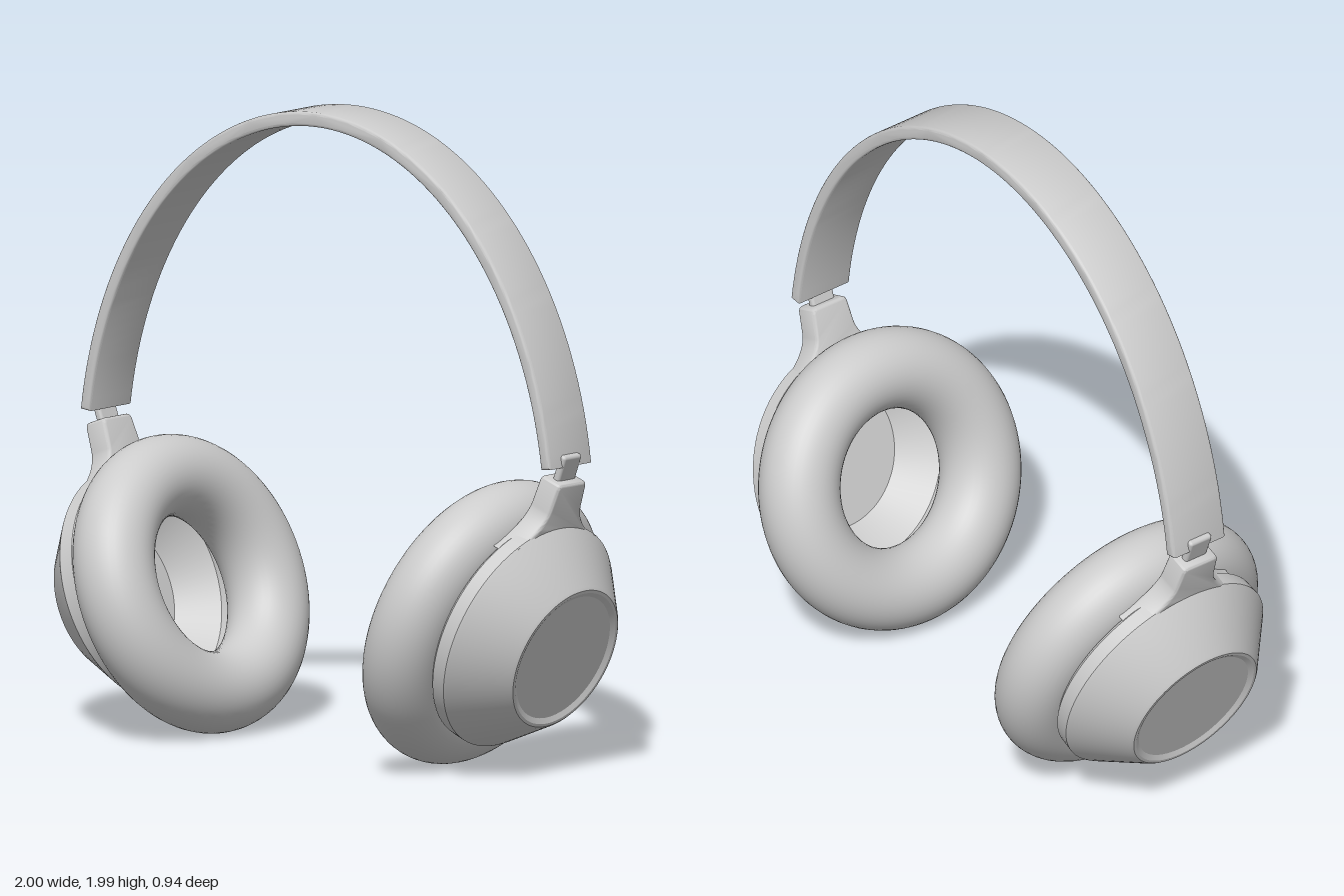
import * as THREE from 'three';
import { toCreasedNormals } from 'three/addons/utils/BufferGeometryUtils.js';
import { RoundedBoxGeometry } from 'three/addons/geometries/RoundedBoxGeometry.js';

const material = new THREE.MeshStandardMaterial({ color: 0xcccccc });

function part(name, geometry, parent) {
  const mesh = new THREE.Mesh(geometry, material);
  mesh.name = name;
  parent.add(mesh);
  return mesh;
}

// Half-elliptical strip, slightly thinner at its ends
function headbandGeometry() {
  const a = 0.951, b = 1.2, start = 0.152, steps = 80;
  const outer = [], inner = [];
  for (let i = 0; i <= steps; i++) {
    const t = start + (Math.PI - 2 * start) * i / steps;
    const p = new THREE.Vector2(a * Math.cos(t), b * Math.sin(t) + 0.8);
    const normal = new THREE.Vector2(Math.cos(t) / a, Math.sin(t) / b).normalize();
    const thickness = 0.036 + 0.009 * Math.sin(t);
    outer.push(p);
    inner.unshift(p.clone().addScaledVector(normal, -thickness));
  }
  const bevel = 0.009, width = 0.206;
  const geometry = new THREE.ExtrudeGeometry(new THREE.Shape([...outer, ...inner]), {
    depth: width - 2 * bevel, bevelEnabled: true, bevelSize: bevel,
    bevelThickness: bevel, bevelOffset: -bevel, bevelSegments: 3,
  });
  geometry.translate(0, 0, -width / 2 + bevel);
  return toCreasedNormals(geometry, 0.6);
}

// Hollow conical shell with a rim band and a shallow recessed cap, axis along x
function shellGeometry() {
  const profile = [
    [0, 0.275], [0.23, 0.275], [0.33, 0.17], [0.33, 0.11], [0.362, 0.125],
    [0.374, 0.137], [0.376, 0.185], [0.37, 0.193], [0.243, 0.338], [0.234, 0.345],
    [0.224, 0.345], [0.208, 0.336], [0, 0.336],
  ].map(([r, y]) => new THREE.Vector2(r, y));
  const geometry = new THREE.LatheGeometry(profile, 80);
  geometry.rotateZ(-Math.PI / 2);
  return toCreasedNormals(geometry, 0.5);
}

// Flared arm that grows out of the shell rim
function armGeometry() {
  const s = new THREE.Shape();
  s.moveTo(0.21, 0.345);
  s.quadraticCurveTo(0.085, 0.41, 0.075, 0.48);
  s.lineTo(0.068, 0.55);
  s.quadraticCurveTo(0.066, 0.567, 0.05, 0.567);
  s.lineTo(-0.05, 0.567);
  s.quadraticCurveTo(-0.066, 0.567, -0.068, 0.55);
  s.lineTo(-0.075, 0.48);
  s.quadraticCurveTo(-0.085, 0.41, -0.21, 0.345);
  s.quadraticCurveTo(0, 0.43, 0.21, 0.345);
  const bevel = 0.01;
  const geometry = new THREE.ExtrudeGeometry(s, {
    depth: 0.082 - 2 * bevel, bevelEnabled: true, bevelSize: bevel,
    bevelThickness: bevel, bevelOffset: -bevel, bevelSegments: 3, curveSegments: 16,
  });
  geometry.rotateY(Math.PI / 2);
  geometry.translate(0.107 + bevel, 0, 0);
  return toCreasedNormals(geometry, 0.6);
}

// One ear cup: local x points outward, local y up along the tilted disc
function earCup(name) {
  const cup = new THREE.Group();
  cup.name = name;
  const cushion = new THREE.TorusGeometry(0.345, 0.127, 40, 96);
  cushion.rotateY(Math.PI / 2);
  part('cushion', cushion, cup);
  part('shell', shellGeometry(), cup).position.y = 0.04;
  part('arm', armGeometry(), cup);
  part('slider', new RoundedBoxGeometry(0.026, 0.12, 0.086, 3, 0.01), cup)
    .position.set(0.148, 0.588, 0);
  cup.position.set(0.58, 0.46, 0);
  cup.rotation.z = -20 * Math.PI / 180;
  return cup;
}

export function createModel() {
  const model = new THREE.Group();
  model.name = 'headphones';
  part('headband', headbandGeometry(), model);

  // The right cup is the left one turned half way round the vertical axis
  model.add(earCup('leftEarCup'));
  const rightSide = new THREE.Group();
  rightSide.name = 'rightSide';
  rightSide.rotation.y = Math.PI;
  rightSide.add(earCup('rightEarCup'));
  model.add(rightSide);
  return model;
}
